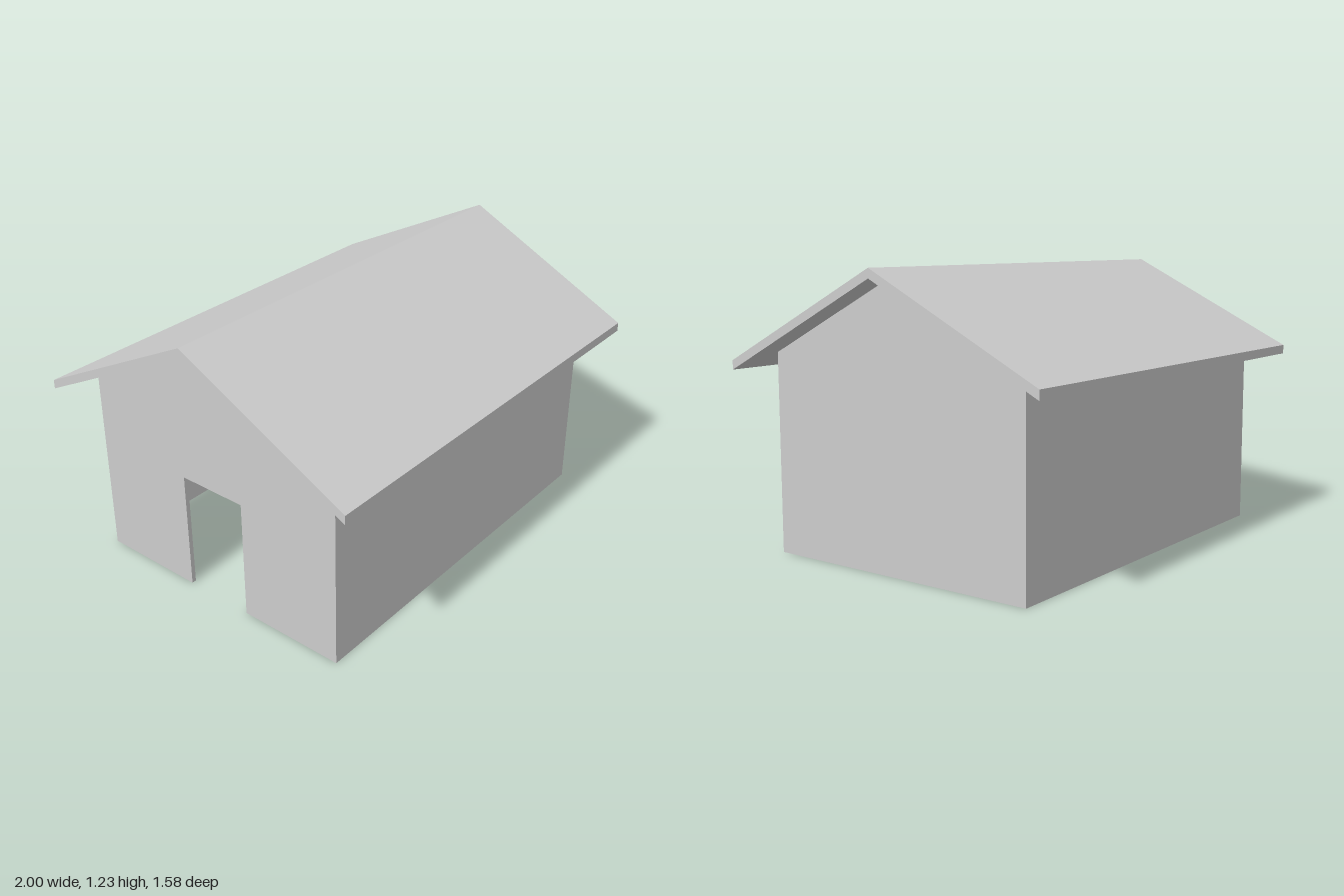
import * as THREE from 'three';

const HALF_W = 0.88, HALF_D = 0.645, WALL = 0.02;    // wall box
const ROOF_W = 1, ROOF_D = 0.79, ROOF_T = 0.04;      // roof half sizes, vertical thickness
const EAVE = 0.79, RIDGE = 1.187;                    // underside of the roof

// height of the roof's underside at depth z
const roofY = (z) => RIDGE - (RIDGE - EAVE) * Math.abs(z) / ROOF_D;

export function createModel() {
  const model = new THREE.Group();
  model.name = 'shed';
  const grey = new THREE.MeshStandardMaterial({ color: 0xcccccc });
  grey.name = 'plain grey';

  // extrudes a cross-section of [z, y] points along x, from x0 to x1
  const addProfile = (name, points, x0, x1) => {
    const shape = new THREE.Shape(points.map(([z, y]) => new THREE.Vector2(-z, y)));
    const geometry = new THREE.ExtrudeGeometry(shape, { depth: x1 - x0, bevelEnabled: false });
    geometry.rotateY(Math.PI / 2).translate(x0, 0, 0);
    const mesh = new THREE.Mesh(geometry, grey);
    mesh.name = name;
    model.add(mesh);
  };

  // gable roof with plumb-cut eaves
  addProfile('roof', [
    [-ROOF_D, EAVE], [0, RIDGE], [ROOF_D, EAVE],
    [ROOF_D, EAVE + ROOF_T], [0, RIDGE + ROOF_T], [-ROOF_D, EAVE + ROOF_T],
  ], -ROOF_W, ROOF_W);

  // long walls, their tops cut to the roof slope
  for (const [name, side] of [['frontWall', 1], ['backWall', -1]]) {
    const outer = side * HALF_D, inner = side * (HALF_D - WALL);
    addProfile(name, [
      [outer, 0], [outer, roofY(outer)], [inner, roofY(inner)], [inner, 0],
    ], -HALF_W + WALL, HALF_W - WALL);
  }

  // closed gable wall
  const gableTop = [[HALF_D, roofY(HALF_D)], [0, RIDGE], [-HALF_D, roofY(HALF_D)]];
  addProfile('closedGable', [[HALF_D, 0], ...gableTop, [-HALF_D, 0]], HALF_W - WALL, HALF_W);

  // gable wall with an open doorway
  const doorZ = 0.16, doorH = 0.54;
  addProfile('doorGable', [
    [HALF_D, 0], ...gableTop, [-HALF_D, 0],
    [-doorZ, 0], [-doorZ, doorH], [doorZ, doorH], [doorZ, 0],
  ], -HALF_W, -HALF_W + WALL);

  return model;
}
